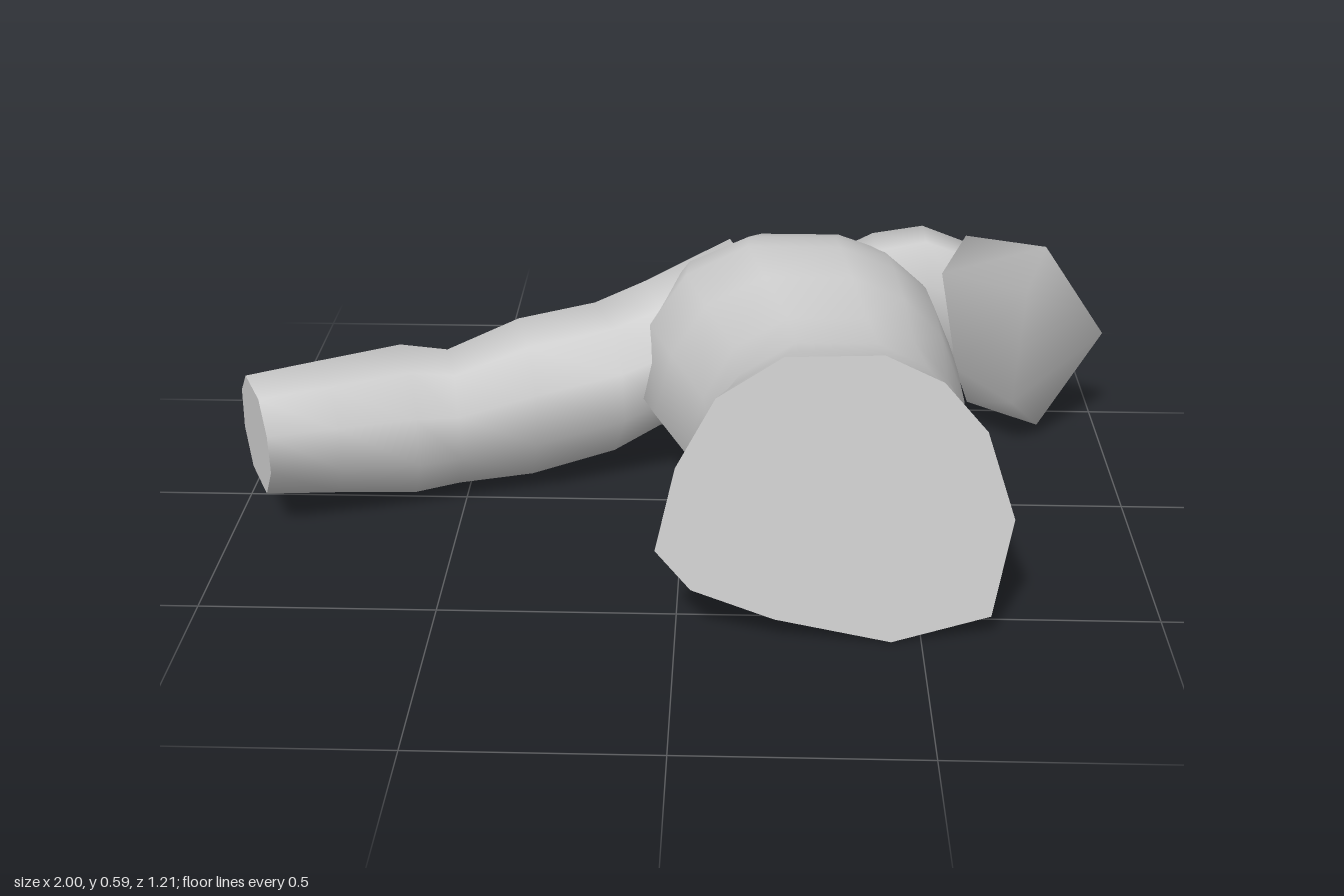
import * as THREE from 'three';
import { mergeVertices } from 'three/addons/utils/BufferGeometryUtils.js';
import { ConvexGeometry } from 'three/addons/geometries/ConvexGeometry.js';

const material = new THREE.MeshStandardMaterial({ color: 0xcccccc });

// Unit cross-sections, counter-clockwise: lopsided trunk and boxy limb
const trunkProfile = [
  [1, -0.15], [0.83, 0.46], [0.58, 0.8], [0.25, 0.99], [-0.3, 0.99], [-0.67, 0.72],
  [-0.89, 0.25], [-1, -0.32], [-0.8, -0.6], [-0.33, -0.82], [0.33, -1], [0.89, -0.83],
];
const limbProfile = [
  [1, -0.3], [0.93, 0.4], [0.5, 0.95], [-0.45, 1],
  [-0.93, 0.5], [-1, -0.3], [-0.55, -0.92], [0.45, -1],
];

function addMesh(group, name, geometry) {
  const mesh = new THREE.Mesh(geometry, material);
  mesh.name = name;
  group.add(mesh);
}

// Smooth skin through rings with flat end caps.
// Ring: centre x, y, z, half-width vector (x, z), half-height vector (y, z).
// Rings advance along width x height.
function loft(rings, profile) {
  const sides = profile.length, pos = [], index = [];
  for (const [x, y, z, ux, uz, vy, vz] of rings) {
    for (const [c, s] of profile) pos.push(x + c * ux, y + s * vy, z + c * uz + s * vz);
  }
  for (let i = 0; i < rings.length - 1; i++) {
    for (let j = 0; j < sides; j++) {
      const a = i * sides + j, b = i * sides + ((j + 1) % sides);
      index.push(a, b, b + sides, a, b + sides, a + sides);
    }
  }
  // End caps use their own vertices so the rim stays sharp
  for (const end of [0, rings.length - 1]) {
    const base = pos.length / 3;
    pos.push(...pos.slice(end * sides * 3, (end + 1) * sides * 3));
    pos.push(...rings[end].slice(0, 3));
    for (let j = 0; j < sides; j++) {
      const a = base + j, b = base + ((j + 1) % sides);
      if (end) index.push(base + sides, a, b);
      else index.push(base + sides, b, a);
    }
  }
  const geometry = new THREE.BufferGeometry();
  geometry.setAttribute('position', new THREE.Float32BufferAttribute(pos, 3));
  geometry.setIndex(index);
  geometry.computeVertexNormals();
  return geometry;
}

export function createModel() {
  const model = new THREE.Group();
  model.name = 'torso';

  // Trunk, from the neck stump to the slanted waist cut
  addMesh(model, 'trunk', loft([
    [0.33, 0.25, -0.55, 0.14, -0.01, 0.08, 0.015],
    [0.30, 0.275, -0.50, 0.25, -0.01, 0.16, 0.02],
    [0.27, 0.30, -0.41, 0.33, 0, 0.21, 0.02],
    [0.25, 0.32, -0.26, 0.365, 0, 0.235, 0.01],
    [0.25, 0.33, -0.10, 0.37, 0, 0.26, 0],
    [0.28, 0.31, 0.02, 0.345, 0, 0.255, 0],
    [0.315, 0.295, 0.20, 0.30, 0, 0.25, 0],
    [0.33, 0.295, 0.36, 0.305, 0, 0.255, -0.02],
    [0.325, 0.295, 0.46, 0.33, -0.015, 0.275, -0.035],
    [0.32, 0.295, 0.548, 0.36, -0.025, 0.295, -0.056],
  ], trunkProfile));

  // Outstretched right arm, shoulder to wrist cut
  addMesh(model, 'rightArm', loft([
    [0.12, 0.33, -0.25, 0.05, 0.16, 0.19, 0],
    [-0.08, 0.28, -0.20, 0.05, 0.16, 0.15, 0],
    [-0.19, 0.23, -0.175, 0.055, 0.14, 0.16, 0],
    [-0.37, 0.205, -0.115, 0.04, 0.155, 0.165, 0],
    [-0.53, 0.18, -0.055, 0.035, 0.135, 0.14, 0],
    [-0.63, 0.185, -0.03, 0.045, 0.145, 0.155, 0],
    [-0.80, 0.20, 0.05, 0.055, 0.13, 0.135, 0],
    [-0.945, 0.21, 0.115, 0.055, 0.115, 0.12, 0],
  ], limbProfile));

  // Left upper arm, shoulder to elbow
  addMesh(model, 'leftUpperArm', loft([
    [0.18, 0.31, -0.28, 0, -0.10, 0.10, 0],
    [0.44, 0.34, -0.42, 0, -0.145, 0.145, 0.01],
    [0.56, 0.33, -0.44, 0, -0.14, 0.17, 0.01],
    [0.68, 0.28, -0.46, 0, -0.135, 0.175, 0.03],
    [0.77, 0.26, -0.46, 0, -0.11, 0.13, 0.02],
    [0.84, 0.24, -0.45, 0, -0.07, 0.08, 0.01],
  ], limbProfile));

  // Left forearm, folded back up from the elbow
  const corners = [
    [0.59, 0.46, -0.27], [0.77, 0.47, -0.14], [0.82, 0.54, -0.24],
    [0.65, 0.52, -0.36], [1.0, 0.25, -0.42], [0.85, 0.03, -0.36],
    [0.92, 0.22, -0.5], [0.68, 0.08, -0.38], [0.69, 0.19, -0.605],
    [0.80, 0.14, -0.53], [0.77, 0.14, -0.25], [0.64, 0.2, -0.31],
  ].map((p) => new THREE.Vector3(...p));
  let forearm = new ConvexGeometry(corners);
  forearm.deleteAttribute('normal');
  forearm = mergeVertices(forearm, 1e-4);
  forearm.computeVertexNormals();
  addMesh(model, 'leftForearm', forearm);

  return model;
}
